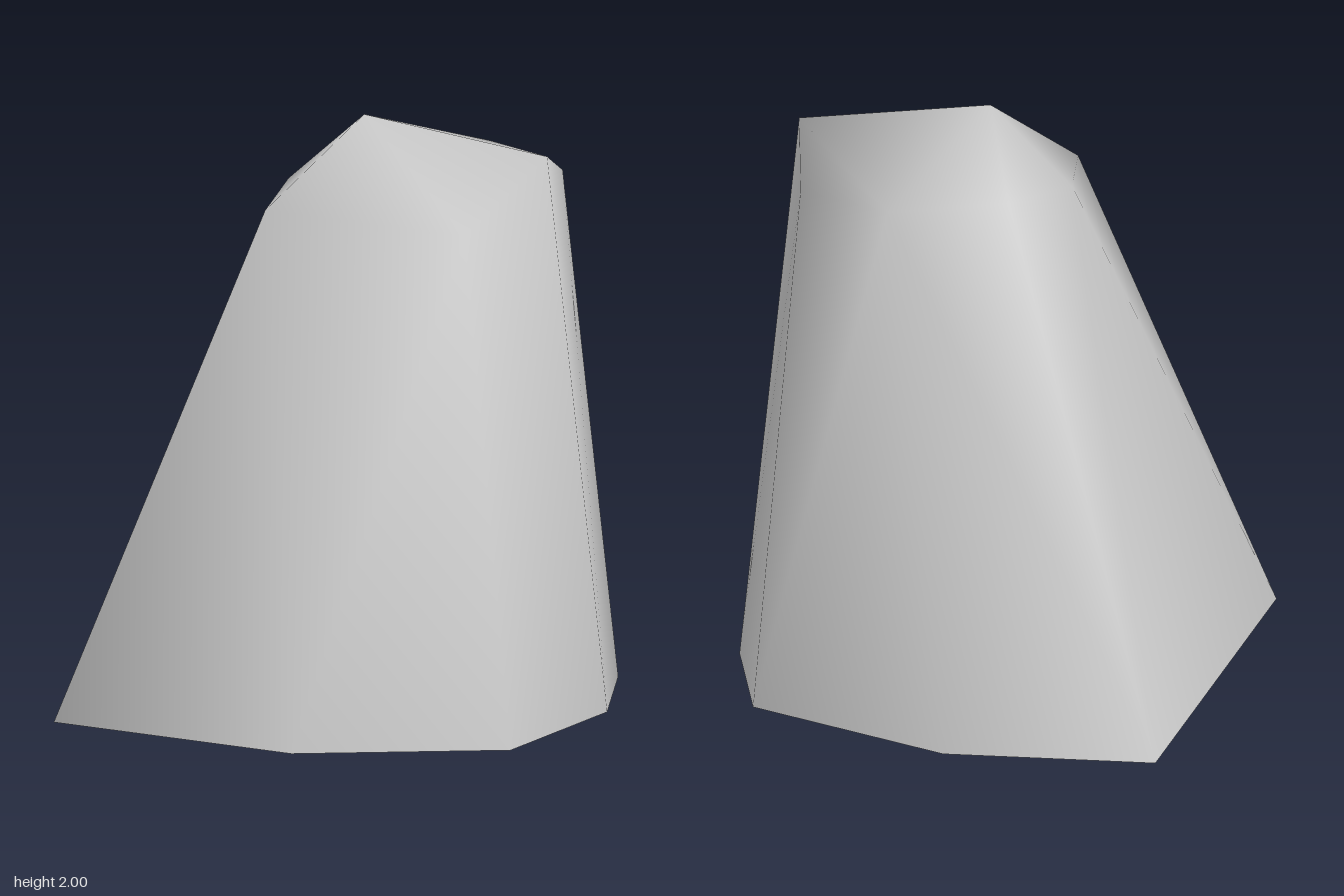
import * as THREE from 'three';
import { ConvexGeometry } from 'three/addons/geometries/ConvexGeometry.js';
import { mergeVertices } from 'three/addons/utils/BufferGeometryUtils.js';

// Corners of the rock, each ring clockwise from above, starting at the back right
const foot = [
  [-0.80, 0.025, -0.82], [-0.09, 0.025, -0.90], [0.64, 0.015, -0.58], [0.81, 0.01, -0.07],
  [0.725, 0, 0.57], [0.07, 0, 0.90], [-0.815, 0.022, 0.835],
];
const shoulder = [
  [-0.20, 1.82, -0.42], [0.18, 1.81, -0.57], [0.53, 1.78, -0.36], [0.622, 1.905, 0],
  [0.485, 1.70, 0.39], [-0.25, 1.72, 0.355], [-0.32, 1.75, -0.02],
];
const peak = [-0.03, 2, 0.02];

export function createModel() {
  const group = new THREE.Group();
  const stoneGrey = new THREE.MeshStandardMaterial({ color: 0xcccccc, side: THREE.DoubleSide });
  stoneGrey.name = 'stone grey';

  // Convex shell round the corners
  const corners = [...foot, ...shoulder, peak].map((p) => new THREE.Vector3(...p));
  const hull = new ConvexGeometry(corners).getAttribute('position');

  // Leave the underside open: drop the faces that join foot corners only
  const shell = [];
  for (let i = 0; i < hull.count; i += 3) {
    const face = [i, i + 1, i + 2];
    if (face.every((k) => hull.getY(k) < 0.1)) continue;
    face.forEach((k) => shell.push(hull.getX(k), hull.getY(k), hull.getZ(k)));
  }

  // Share corners so the shading is smooth
  let geometry = new THREE.BufferGeometry();
  geometry.setAttribute('position', new THREE.Float32BufferAttribute(shell, 3));
  geometry = mergeVertices(geometry);
  geometry.computeVertexNormals();

  const rock = new THREE.Mesh(geometry, stoneGrey);
  rock.name = 'rock';
  group.add(rock);
  return group;
}
